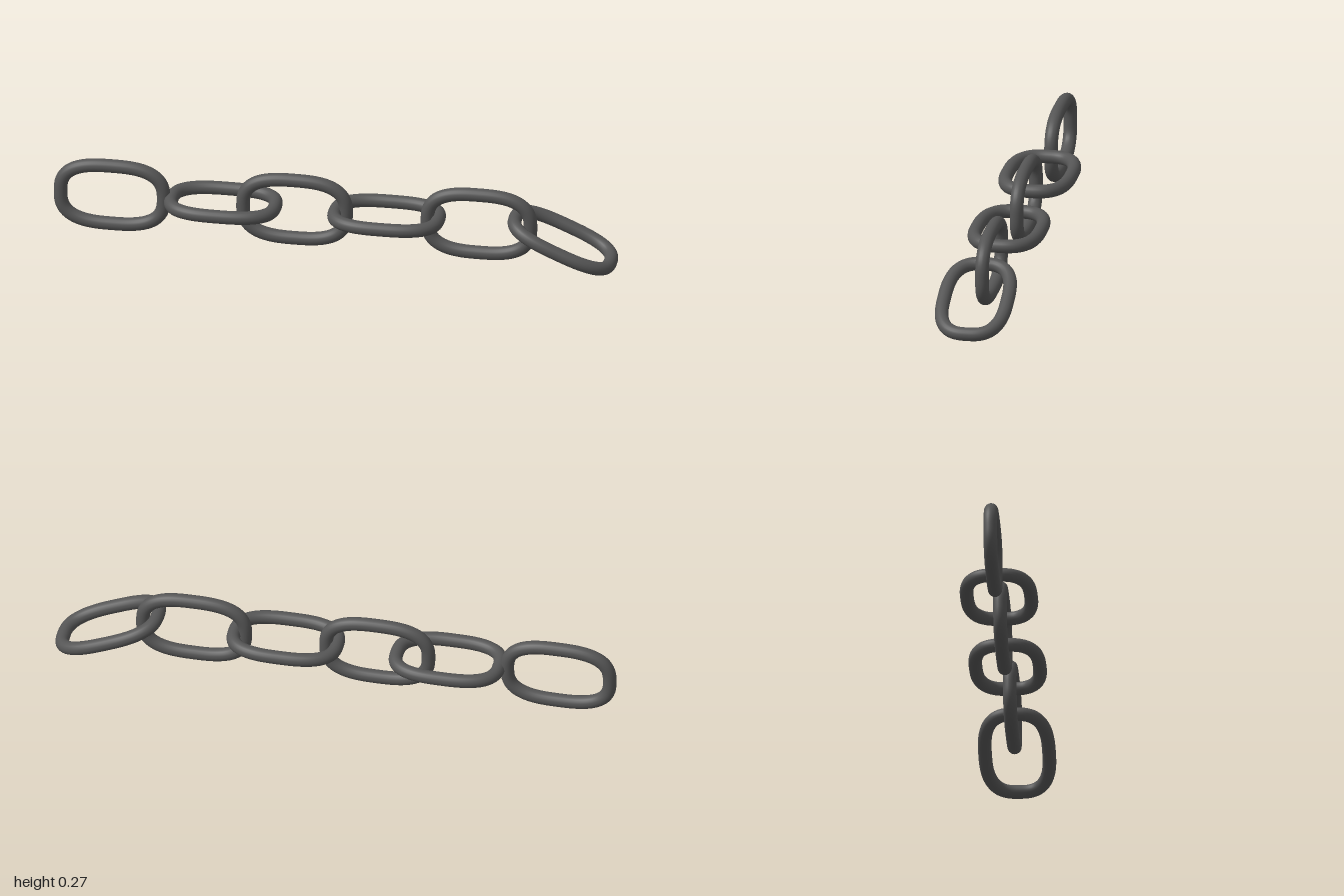
import * as THREE from 'three';

const HALF_LENGTH = 0.183, HALF_WIDTH = 0.112, WIRE = 0.024, SQUARENESS = 2.8;

// Closed rounded-oblong centre line of one link, lying in the XY plane
class LinkCurve extends THREE.Curve {
  getPoint(t, target = new THREE.Vector3()) {
    const c = Math.cos(t * Math.PI * 2), s = Math.sin(t * Math.PI * 2);
    const r = Math.pow(
      Math.pow(Math.abs(c) / HALF_LENGTH, SQUARENESS) + Math.pow(Math.abs(s) / HALF_WIDTH, SQUARENESS),
      -1 / SQUARENESS);
    return target.set(r * c, r * s, 0);
  }
}

export function createModel() {
  const chain = new THREE.Group();
  chain.name = 'chain';
  const steel = new THREE.MeshStandardMaterial({ color: 0x555555 });
  const linkGeometry = new THREE.TubeGeometry(new LinkCurve(), 96, WIRE, 20, true);

  // Centre x, centre y, whether the link lies flat, and its downward tilt
  const links = [
    { x: -0.793, y: 0.137, flat: false, tilt: 0 },
    { x: -0.398, y: 0.14, flat: true, tilt: 0 },
    { x: -0.145, y: 0.137, flat: false, tilt: 0 },
    { x: 0.182, y: 0.14, flat: true, tilt: 0 },
    { x: 0.51, y: 0.137, flat: false, tilt: 0 },
    { x: 0.808, y: 0.099, flat: true, tilt: -0.402 },
  ];

  links.forEach(({ x, y, flat, tilt }, i) => {
    const link = new THREE.Mesh(linkGeometry, steel);
    link.name = `${flat ? 'flatLink' : 'uprightLink'}${i + 1}`;
    link.position.set(x, y, 0);
    // Roll about the long axis first, then tilt
    link.rotation.set(flat ? Math.PI / 2 : 0, 0, tilt, 'ZYX');
    chain.add(link);
  });
  return chain;
}
